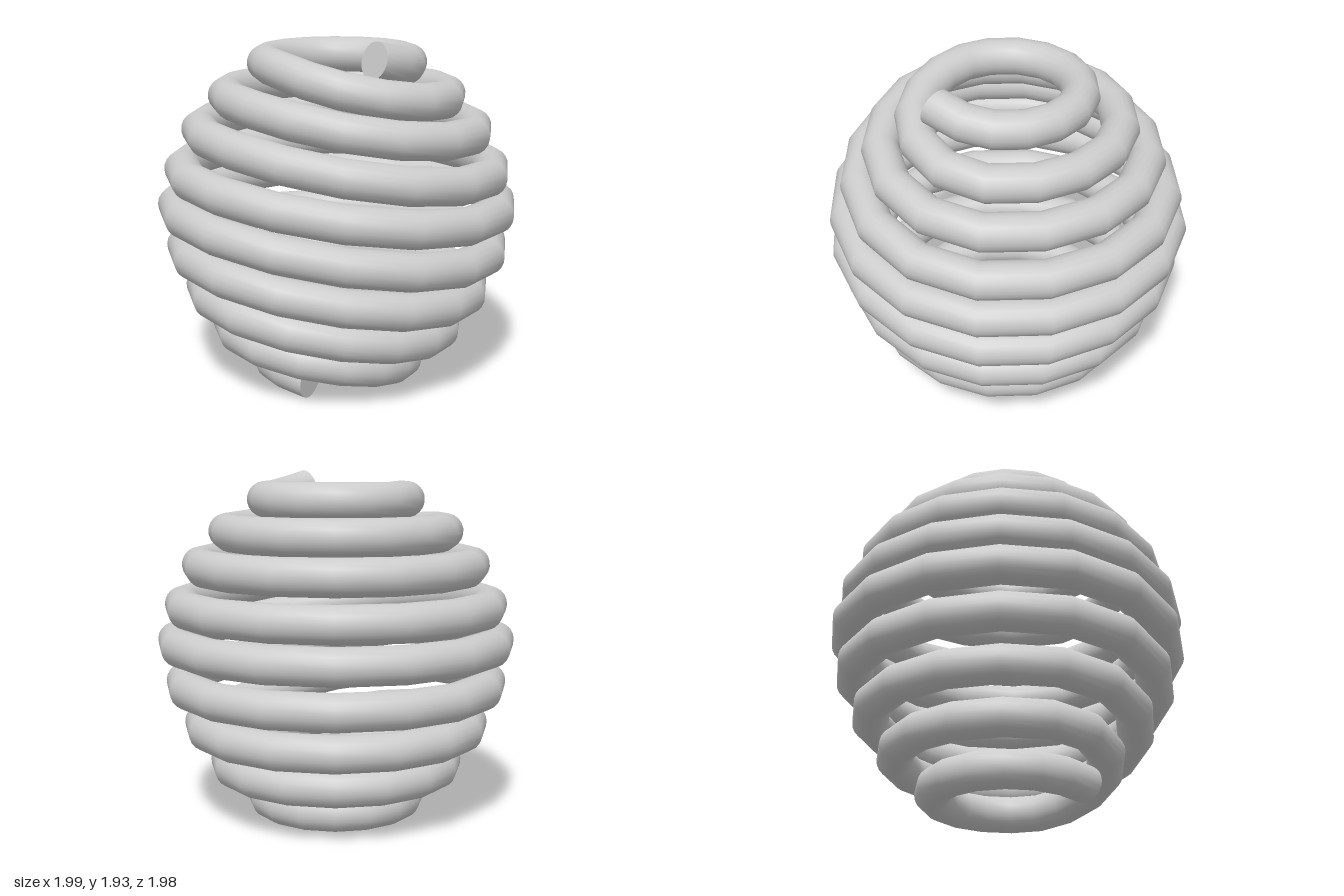
import * as THREE from 'three';

const WIRE = 0.1; // wire radius
const PER_TURN = 16; // segments in each turn
const START = 135, END = 3330; // winding angle in degrees

// Height and centre-line radius of each level ring; first and last shape the loose ends
const HEIGHTS = [0.07, 0.115, 0.31, 0.53, 0.765, 1.0, 1.2, 1.42, 1.605, 1.78, 1.98];
const RADII = [0.56, 0.4, 0.61, 0.755, 0.855, 0.897, 0.855, 0.755, 0.605, 0.39, 0.56];

// Level rings around the back, stepping up to the next ring across the front
class CoilCurve extends THREE.Curve {
  getPoint(t, target = new THREE.Vector3()) {
    const deg = START + (END - START) * t;
    const turns = (deg + 180) / 360;
    const ring = Math.floor(turns);
    const s = THREE.MathUtils.smoothstep(turns - ring, 0.61, 1);
    const r = THREE.MathUtils.lerp(RADII[ring], RADII[ring + 1], s);
    const y = THREE.MathUtils.lerp(HEIGHTS[ring], HEIGHTS[ring + 1], s);
    const a = THREE.MathUtils.degToRad(deg);
    return target.set(r * Math.cos(a), y, r * Math.sin(a));
  }
  // Even spacing by angle, so every turn has the same number of segments
  getUtoTmapping(u) {
    return u;
  }
}

export function createModel() {
  const group = new THREE.Group();
  group.name = 'sphericalCoil';
  const material = new THREE.MeshStandardMaterial({ color: 0xcccccc });
  const curve = new CoilCurve();
  const segments = Math.round((END - START) / 360 * PER_TURN);

  // Wound wire
  const wire = new THREE.Mesh(new THREE.TubeGeometry(curve, segments, WIRE, 20, false), material);
  wire.name = 'coilWire';
  group.add(wire);

  // Flat cut faces at both ends
  for (const [name, t, sign] of [['lowerEnd', 0, -1], ['upperEnd', 1, 1]]) {
    const cap = new THREE.Mesh(new THREE.CircleGeometry(WIRE, 20), material);
    cap.name = name;
    cap.position.copy(curve.getPoint(t));
    const outward = curve.getTangent(t).multiplyScalar(sign);
    cap.quaternion.setFromUnitVectors(new THREE.Vector3(0, 0, 1), outward);
    group.add(cap);
  }
  return group;
}
